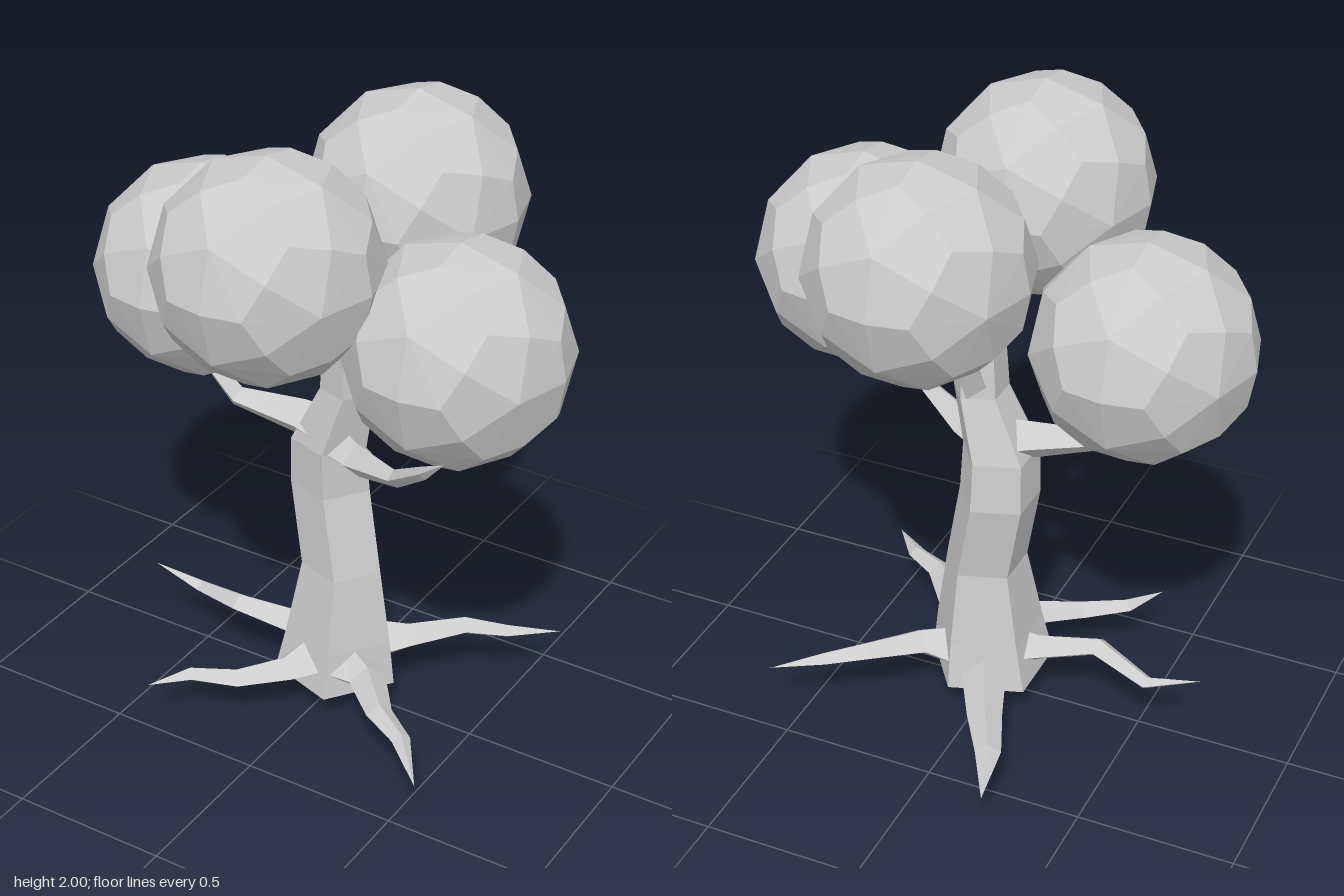
import * as THREE from 'three';

const material = new THREE.MeshStandardMaterial({ color: 0xcccccc, flatShading: true });

function addMesh(group, name, geometry) {
  const mesh = new THREE.Mesh(geometry, material);
  mesh.name = name;
  group.add(mesh);
  return mesh;
}

// Joins equal-length rings of points into a faceted skin
function loft(rings) {
  const pos = [];
  const n = rings[0].length;
  const tri = (...pts) => pts.forEach((p) => pos.push(p.x, p.y, p.z));
  for (let i = 0; i < rings.length - 1; i++) {
    for (let j = 0; j < n; j++) {
      const k = (j + 1) % n;
      const a = rings[i][j], b = rings[i][k], c = rings[i + 1][j], d = rings[i + 1][k];
      tri(a, c, b);
      tri(b, c, d);
    }
  }
  const geometry = new THREE.BufferGeometry();
  geometry.setAttribute('position', new THREE.Float32BufferAttribute(pos, 3));
  geometry.computeVertexNormals();
  return geometry;
}

// Tapered limb along [x, y, z, radius] stations, optionally flattened
function limb(path, sides = 4, flat = 1) {
  const pts = path.map(([x, y, z]) => new THREE.Vector3(x, y, z));
  const up = new THREE.Vector3(0, 1, 0);
  return loft(pts.map((p, i) => {
    const t = pts[Math.min(i + 1, pts.length - 1)].clone().sub(pts[Math.max(i - 1, 0)]).normalize();
    const side = t.clone().cross(up).normalize();
    const normal = side.clone().cross(t);
    return Array.from({ length: sides }, (_, j) => {
      const a = (j / sides) * Math.PI * 2;
      return p.clone()
        .addScaledVector(side, Math.cos(a) * path[i][3])
        .addScaledVector(normal, Math.sin(a) * path[i][3] * flat);
    });
  }));
}

// Five-sided trunk from [y, centre x, centre z, radius] stations
function trunkGeometry(stations) {
  return loft(stations.map(([y, cx, cz, r]) => Array.from({ length: 5 }, (_, j) => {
    const a = (j / 5) * Math.PI * 2;
    return new THREE.Vector3(cx + Math.cos(a) * r, y, cz + Math.sin(a) * r);
  })));
}

// Ball of sixty kites: each icosahedron face is split into three quads
function foliageGeometry(radius) {
  const src = new THREE.IcosahedronGeometry(1, 0).getAttribute('position');
  const pos = [];
  const mid = (...v) => v.reduce((s, p) => s.add(p), new THREE.Vector3()).normalize();
  for (let f = 0; f < src.count; f += 3) {
    const v = [0, 1, 2].map((k) => new THREE.Vector3().fromBufferAttribute(src, f + k));
    const centre = mid(...v);
    for (let k = 0; k < 3; k++) {
      const a = v[k], next = mid(a, v[(k + 1) % 3]), prev = mid(a, v[(k + 2) % 3]);
      [a, next, centre, a, centre, prev].forEach((p) => pos.push(p.x * radius, p.y * radius, p.z * radius));
    }
  }
  const geometry = new THREE.BufferGeometry();
  geometry.setAttribute('position', new THREE.Float32BufferAttribute(pos, 3));
  geometry.computeVertexNormals();
  return geometry;
}

export function createModel() {
  const tree = new THREE.Group();
  tree.name = 'tree';

  // Trunk, pointed underneath and leaning as it rises
  addMesh(tree, 'trunk', trunkGeometry([
    [0, 0.02, 0, 0], [0.09, 0.015, 0, 0.205], [0.24, 0.025, 0, 0.178],
    [0.49, 0.03, -0.005, 0.133], [0.76, -0.025, -0.03, 0.132], [0.92, -0.025, -0.02, 0.125],
    [1.12, 0.045, -0.01, 0.09], [1.35, 0.05, 0, 0.075], [1.45, 0.05, 0, 0],
  ]));

  // Branches reaching into the foliage
  const branches = {
    rightBranch: [[-0.04, 0.95, -0.01, 0.08], [-0.12, 0.97, 0.0, 0.065], [-0.33, 1.0, 0.04, 0.037], [-0.43, 1.12, 0.06, 0.028], [-0.46, 1.25, 0.05, 0]],
    leftBranch: [[0, 0.92, 0, 0.07], [0.12, 0.92, 0.06, 0.055], [0.31, 0.97, 0.16, 0.028], [0.46, 1.09, 0.26, 0.02], [0.56, 1.18, 0.32, 0]],
    frontBranch: [[0.05, 1.26, 0, 0.06], [0.03, 1.42, 0.1, 0.055], [0, 1.6, 0.26, 0]],
    backBranch: [[0.04, 1.1, -0.03, 0.05], [0.06, 1.28, -0.11, 0.045], [0.09, 1.55, -0.27, 0]],
  };
  for (const [name, path] of Object.entries(branches)) addMesh(tree, name, limb(path));

  // Five winding roots, one from each side of the base
  const roots = [
    [[0.1, 0.17, 0.08, 0.1], [0.2, 0.18, 0.13, 0.06], [0.32, 0.18, 0.26, 0.042], [0.44, 0.17, 0.33, 0.03], [0.57, 0.14, 0.47, 0]],
    [[0.1, 0.17, -0.08, 0.1], [0.2, 0.19, -0.13, 0.06], [0.33, 0.2, -0.26, 0.042], [0.45, 0.18, -0.33, 0.03], [0.59, 0.17, -0.43, 0]],
    [[-0.02, 0.17, 0.1, 0.1], [-0.06, 0.16, 0.2, 0.06], [-0.18, 0.14, 0.3, 0.045], [-0.31, 0.15, 0.37, 0.032], [-0.39, 0.15, 0.49, 0]],
    [[-0.02, 0.17, -0.1, 0.1], [-0.05, 0.19, -0.2, 0.07], [-0.13, 0.18, -0.37, 0.055], [-0.21, 0.17, -0.52, 0.04], [-0.26, 0.13, -0.68, 0]],
    [[-0.06, 0.17, 0, 0.1], [-0.16, 0.19, 0, 0.06], [-0.34, 0.22, 0.04, 0.042], [-0.53, 0.18, -0.02, 0.028], [-0.7, 0.225, 0, 0]],
  ];
  roots.forEach((path, i) => addMesh(tree, `root${i + 1}`, limb(path, 4, 0.75)));

  // Round foliage crowns
  const ball = foliageGeometry(0.342);
  const crowns = {
    frontFoliage: [-0.01, 1.658, 0.34],
    backFoliage: [0.1, 1.655, -0.3],
    rightFoliage: [-0.48, 1.39, -0.015],
    leftFoliage: [0.48, 1.425, 0.11],
  };
  for (const [name, p] of Object.entries(crowns)) addMesh(tree, name, ball).position.set(...p);

  return tree;
}
